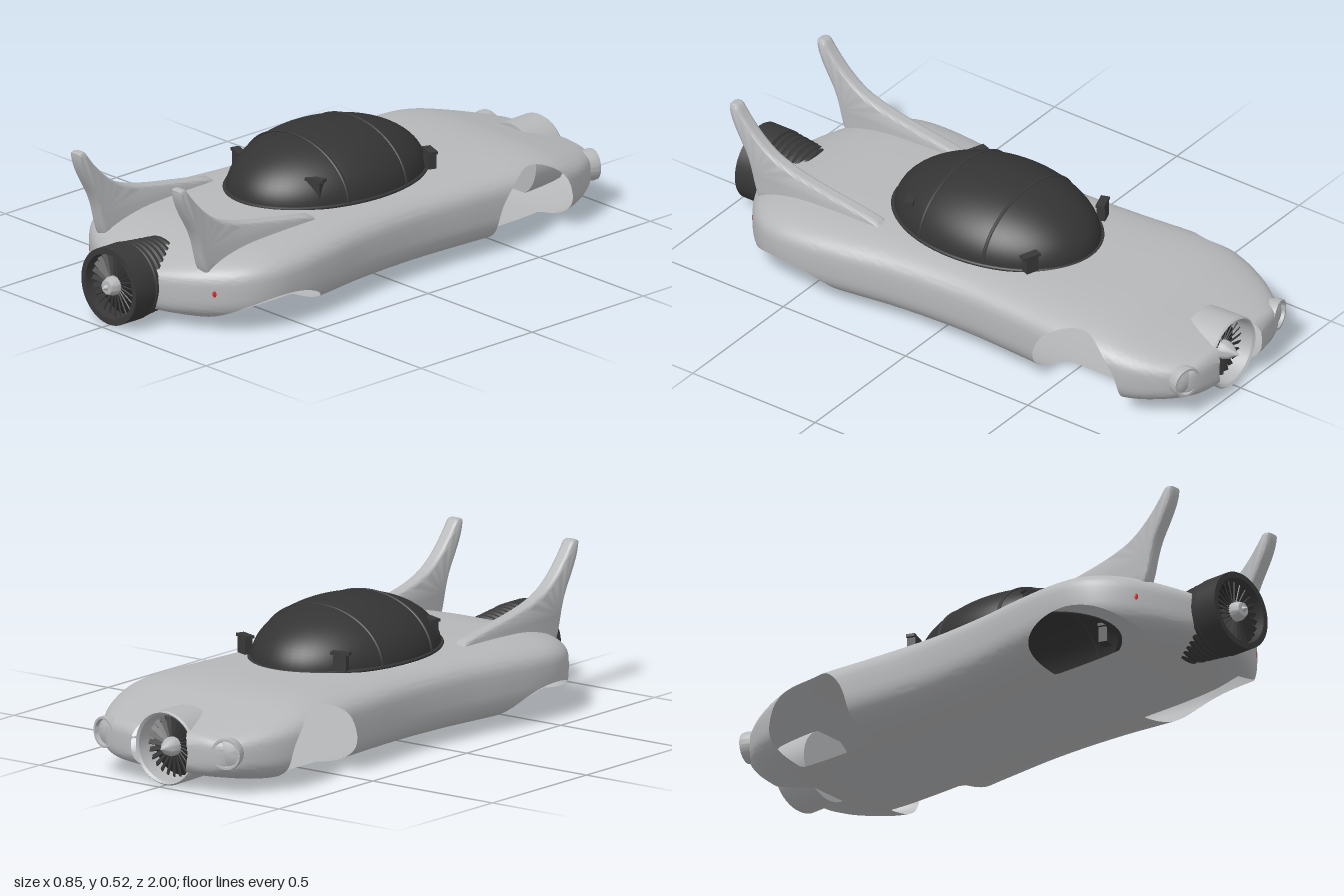
import * as THREE from 'three';
import { toCreasedNormals } from 'three/addons/utils/BufferGeometryUtils.js';

const mat = (name, color, side = THREE.FrontSide) => {
  const m = new THREE.MeshStandardMaterial({ color, side });
  m.name = name;
  return m;
};

// Loft of rounded-box sections, trimmed by a list of "keep where positive" functions
function bodyGeometry() {
  // z, half width, bottom, top
  const stations = [
    [-1, 0.13, 0.085, 0.17], [-0.985, 0.215, 0.068, 0.192], [-0.95, 0.268, 0.052, 0.206],
    [-0.88, 0.325, 0.035, 0.226], [-0.8, 0.365, 0.02, 0.248], [-0.7, 0.39, 0.013, 0.273],
    [-0.6, 0.395, 0.011, 0.285], [-0.35, 0.377, 0.011, 0.286], [-0.1, 0.365, 0.011, 0.284],
    [0.15, 0.38, 0.011, 0.284], [0.35, 0.41, 0.011, 0.282], [0.5, 0.426, 0.011, 0.277],
    [0.6, 0.42, 0.013, 0.271], [0.68, 0.39, 0.018, 0.258], [0.75, 0.33, 0.028, 0.24],
    [0.81, 0.245, 0.04, 0.218], [0.85, 0.165, 0.052, 0.2], [0.875, 0.1, 0.07, 0.185],
  ];
  const curve = new THREE.CubicInterpolant(
    stations.map(s => s[0]), stations.flatMap(s => s.slice(1)), 3, new Float32Array(3));
  const rows = 110, sides = 88, grid = [];
  for (let i = -1; i <= rows + 1; i++) {
    const t = Math.min(Math.max(i / rows, 0), 1);
    const z = -1 + 1.875 * (t - 0.07 * Math.sin(2 * Math.PI * t));
    const [w, lo, hi] = curve.evaluate(z);
    const mid = lo + 0.56 * (hi - lo), closed = i < 0 || i > rows;
    const row = [];
    for (let j = 0; j <= sides; j++) {
      const a = (j / sides) * 2 * Math.PI, c = Math.cos(a), s = Math.sin(a);
      const bend = v => Math.sign(v) * Math.pow(Math.abs(v), 0.57);
      row.push(closed ? [0, mid, z]
        : [w * bend(c), mid + (s > 0 ? hi - mid : mid - lo) * bend(s), z]);
    }
    grid.push(row);
  }
  const keep = [
    // front wheel openings, rear wheel openings, cockpit, nose intake
    ([x, y, z]) => Math.max(Math.hypot(z + 0.6, y - 0.085) - 0.172, 0.22 - Math.abs(x)),
    ([x, y, z]) => Math.max((Math.hypot((z - 0.56) / 0.21, (y - 0.005) / 0.12) - 1) * 0.15, 0.22 - Math.abs(x)),
    ([x, y, z]) => Math.max((Math.hypot(x / 0.265, z / 0.37) - 1) * 0.3, 0.2 - y),
    ([x, y, z]) => Math.max(Math.hypot(x, y - 0.13) - 0.118, z + 0.85),
  ];
  const out = [];
  const emit = tri => {
    let poly = tri;
    for (const f of keep) {
      const next = [];
      poly.forEach((p, k) => {
        const q = poly[(k + 1) % poly.length], a = f(p), b = f(q);
        if (a >= 0) next.push(p);
        if ((a >= 0) !== (b >= 0)) next.push(p.map((v, n) => v + (q[n] - v) * a / (a - b)));
      });
      poly = next;
    }
    for (let k = 1; k + 1 < poly.length; k++) out.push(...poly[0], ...poly[k], ...poly[k + 1]);
  };
  for (let i = 0; i + 1 < grid.length; i++) {
    for (let j = 0; j < sides; j++) {
      const a = grid[i][j], b = grid[i][j + 1], c = grid[i + 1][j + 1], d = grid[i + 1][j];
      if (i < grid.length - 2) emit([a, c, d]);
      if (i > 0) emit([a, b, c]);
    }
  }
  const g = new THREE.BufferGeometry();
  g.setAttribute('position', new THREE.Float32BufferAttribute(out, 3));
  return toCreasedNormals(g, 0.9);
}

export function createModel() {
  const model = new THREE.Group();
  const silver = mat('silver paint', 0xb6b7b9);
  const shell = mat('silver shell', 0xb6b7b9, THREE.DoubleSide);
  const dark = mat('dark metal', 0x383838);
  const glass = mat('dark glass', 0x343434, THREE.DoubleSide);
  const black = mat('shadowed core', 0x202020);
  const red = mat('red lamp', 0xd42626);

  const add = (name, geo, material, x = 0, y = 0, z = 0, parent = model) => {
    const m = new THREE.Mesh(geo, material);
    m.name = name;
    m.position.set(x, y, z);
    parent.add(m);
    return m;
  };
  // Profile of [radius, z] turned about the z axis
  const turned = pts => toCreasedNormals(
    new THREE.LatheGeometry(pts.map(p => new THREE.Vector2(...p)), 56).rotateX(Math.PI / 2), 0.5);

  add('body', bodyGeometry(), shell);

  // Canopy with rim, seams and latches
  add('canopy', new THREE.SphereGeometry(1, 56, 24, 0, Math.PI * 2, 0, Math.PI / 2), glass, 0, 0.278, -0.008)
    .scale.set(0.27, 0.19, 0.375);
  const rim = new THREE.TorusGeometry(1, 0.025, 8, 72).rotateX(Math.PI / 2);
  add('canopyRim', rim, dark, 0, 0.282, -0.008).scale.set(0.271, 0.25, 0.377);
  for (const z of [0.127, -0.133]) {
    add('canopySeam', new THREE.TorusGeometry(1, 0.018, 6, 56, Math.PI), dark, 0, 0.278, z)
      .scale.set(0.2535, 0.179, 0.35);
  }
  for (const s of [-1, 1]) {
    for (const [x, y, z] of [[0.185, 0.345, 0.212], [0.2, 0.325, -0.288]]) {
      const latch = new THREE.Group();
      latch.name = 'canopyLatch';
      latch.position.set(s * x, y, z);
      latch.rotation.y = s * Math.sign(z) * 0.35;
      model.add(latch);
      add('latchPlate', new THREE.BoxGeometry(0.045, 0.055, 0.03), dark, 0, -0.005, 0, latch);
      add('latchBar', new THREE.BoxGeometry(0.065, 0.01, 0.03), dark, 0, 0.026, 0, latch);
    }
  }

  // Tail fins
  const fin = new THREE.Shape();
  fin.moveTo(0.27, 0.265);
  fin.lineTo(0.3, 0.288);
  fin.bezierCurveTo(0.5, 0.325, 0.6, 0.33, 0.7, 0.37);
  fin.bezierCurveTo(0.77, 0.4, 0.83, 0.47, 0.865, 0.52);
  fin.quadraticCurveTo(0.88, 0.53, 0.897, 0.52);
  fin.bezierCurveTo(0.9, 0.47, 0.85, 0.4, 0.83, 0.36);
  fin.bezierCurveTo(0.8, 0.3, 0.8, 0.24, 0.775, 0.2);
  fin.lineTo(0.7, 0.215);
  const finGeo = toCreasedNormals(new THREE.ExtrudeGeometry(fin, {
    depth: 0.02, bevelThickness: 0.016, bevelSize: 0.012, bevelOffset: -0.012,
    bevelSegments: 5, curveSegments: 14,
  }).translate(0, 0, -0.01).rotateY(-Math.PI / 2), 0.8);
  for (const s of [-1, 1]) add('tailFin', finGeo, shell, s * 0.242, 0, 0);

  // Fan with blades, core and spike, facing +z
  const fan = (parent, radius, z, tip) => {
    add('fanCore', new THREE.CircleGeometry(radius, 48), black, 0, 0, z - 0.03, parent);
    for (let k = 0; k < 24; k++) {
      const blade = new THREE.BoxGeometry(radius - 0.025, 0.017, 0.004)
        .rotateX(0.6).translate((radius + 0.025) / 2, 0, 0).rotateZ(k * Math.PI / 12);
      add('fanBlade', blade, dark, 0, 0, z, parent);
    }
    const spike = turned([[0, z - 0.02], [0.032, z - 0.02], [0.032, z + 0.02], [0.024, z + 0.04], [0.01, tip - 0.018], [0, tip]]);
    add('fanSpike', spike, silver, 0, 0, 0, parent);
  };

  // Rear jet with ribbed casing
  const jet = new THREE.Group();
  jet.name = 'rearJet';
  jet.position.y = 0.137;
  model.add(jet);
  const casing = [[0, 0.66], [0.05, 0.665], [0.09, 0.69], [0.108, 0.725]];
  for (let k = 0; k < 6; k++) {
    const r = 0.116 + k * 0.0025, z = 0.73 + k * 0.025;
    casing.push([r - 0.008, z], [r, z + 0.005], [r, z + 0.016], [r - 0.008, z + 0.021]);
  }
  casing.push([0.132, 0.882], [0.132, 0.97], [0.112, 0.97], [0.106, 0.9], [0, 0.9]);
  add('jetCasing', turned(casing), dark, 0, 0, 0, jet);
  fan(jet, 0.108, 0.94, 1);

  // Nose intake
  const intake = new THREE.Group();
  intake.name = 'noseIntake';
  intake.position.y = 0.128;
  intake.rotation.y = Math.PI;
  model.add(intake);
  add('intakeCowl', turned([[0, 0.838], [0.123, 0.838], [0.125, 0.965], [0.12, 0.972], [0.112, 0.965], [0.104, 0.88], [0, 0.88]]),
    silver, 0, 0, 0, intake);
  fan(intake, 0.104, 0.92, 0.995);

  // Headlamps and tail lamps
  const lamp = turned([[0, -0.04], [0.046, -0.04], [0.054, 0.01], [0.052, 0.022], [0.044, 0.022], [0.042, 0.008], [0.025, 0.016], [0, 0.018]]);
  for (const s of [-1, 1]) {
    const head = add('headlamp', lamp, silver, s * 0.25, 0.145, -0.952);
    head.rotation.y = Math.PI - s * 0.25;
    add('tailLamp', new THREE.SphereGeometry(1, 20, 14), red, s * 0.289, 0.142, 0.766)
      .scale.set(0.017, 0.025, 0.013);
  }
  return model;
}
